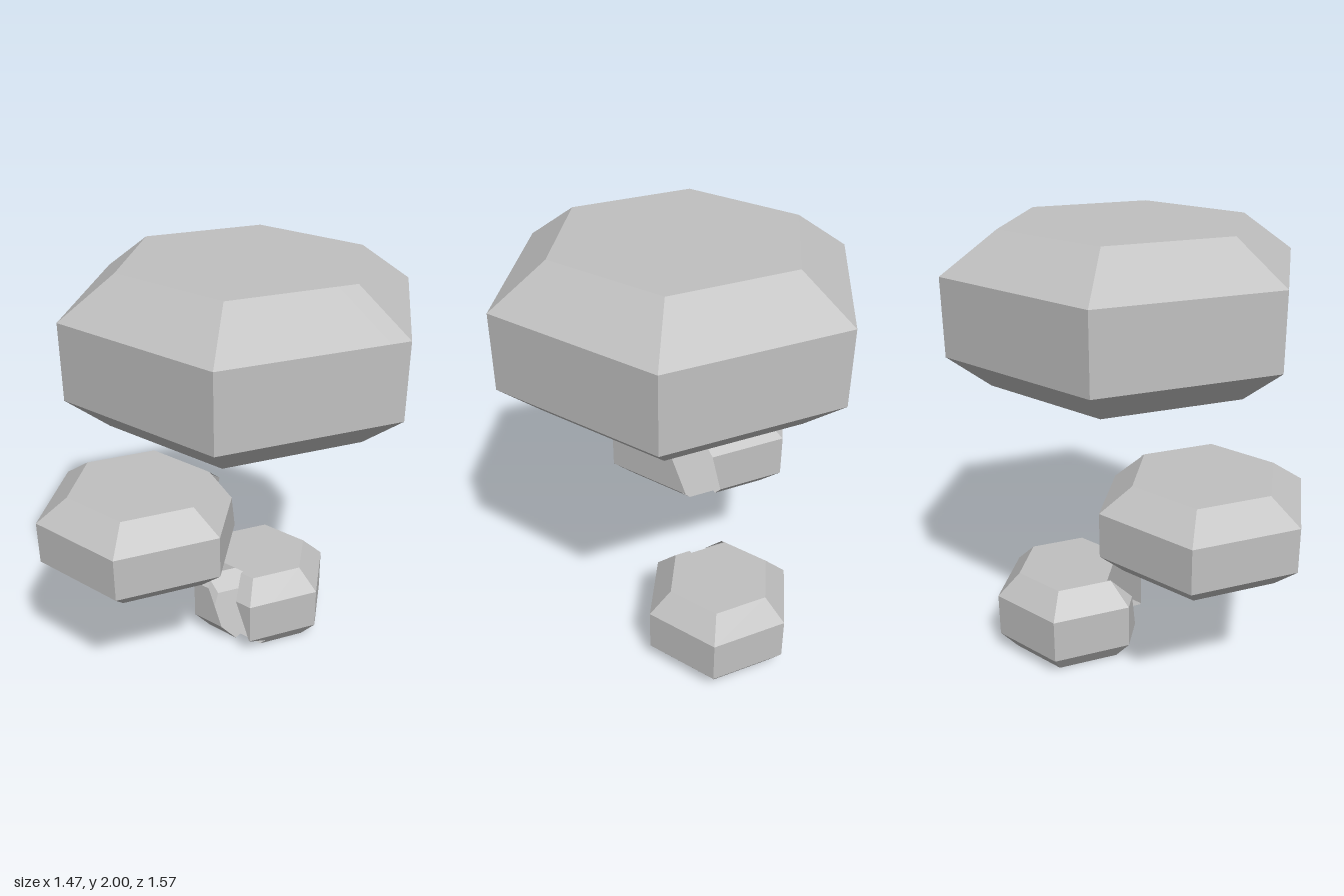
import * as THREE from 'three';

const stoneGrey = new THREE.MeshStandardMaterial({ color: 0xc0c0c0, side: THREE.DoubleSide });
stoneGrey.name = 'stoneGrey';

// Six-sided ring with one corner facing the front
function ring(cx, cz, y, radius) {
  return Array.from({ length: 6 }, (_, k) => {
    const a = (k * Math.PI) / 3;
    return new THREE.Vector3(cx + radius * Math.sin(a), y, cz + radius * Math.cos(a));
  });
}

// Part of a convex polygon where f >= 0
function clip(poly, f) {
  const out = [];
  poly.forEach((p, i) => {
    const q = poly[(i + 1) % poly.length];
    const a = f(p), b = f(q);
    if (a >= 0) out.push(p);
    if ((a > 0 && b < 0) || (a < 0 && b > 0)) out.push(p.clone().lerp(q, a / (a - b)));
  });
  return out;
}

// Remove everything inside all the planes, keeping the pieces outside
function subtract(poly, planes) {
  const kept = [];
  let rest = poly;
  for (const f of planes) {
    if (rest.length < 3) break;
    const piece = clip(rest, (p) => -f(p));
    if (piece.length > 2) kept.push(piece);
    rest = clip(rest, f);
  }
  return kept;
}

// Sloping square channel: x and z ranges at height y0, z shifting by slope per unit of height
function channel({ x, z, y0, slope, top = 9 }) {
  const shift = (p) => p.z - slope * (p.y - y0);
  return [
    (p) => p.x - x[0], (p) => x[1] - p.x,
    (p) => shift(p) - z[0], (p) => z[1] - shift(p),
    (p) => top - p.y,
  ];
}

// Hollow bevelled stone with an opening where the channel crosses its shell
function stone(name, cx, cz, levels, opening) {
  const rings = levels.map(([y, r]) => ring(cx, cz, y, r));
  const faces = [[...rings[0]].reverse(), rings[rings.length - 1]];
  for (let i = 0; i < rings.length - 1; i++) {
    for (let k = 0; k < 6; k++) {
      const n = (k + 1) % 6;
      faces.push([rings[i][k], rings[i][n], rings[i + 1][n], rings[i + 1][k]]);
    }
  }
  const planes = channel(opening);
  const pos = [];
  for (const face of faces) {
    for (const piece of subtract(face, planes)) {
      for (let i = 1; i < piece.length - 1; i++) {
        for (const p of [piece[0], piece[i], piece[i + 1]]) pos.push(p.x, p.y, p.z);
      }
    }
  }
  const geo = new THREE.BufferGeometry();
  geo.setAttribute('position', new THREE.Float32BufferAttribute(pos, 3));
  geo.computeVertexNormals();
  const mesh = new THREE.Mesh(geo, stoneGrey);
  mesh.name = name;
  return mesh;
}

export function createModel() {
  const model = new THREE.Group();
  model.name = 'floatingStones';
  model.add(
    // Large stone, opened only through its underside
    stone('upperStone', 0.05, 0, [[1.355, 0.605], [1.5, 0.785], [1.83, 0.785], [2, 0.543]],
      { x: [-0.025, 0.122], z: [-0.065, 0.065], y0: 1.355, slope: 0, top: 1.4 }),
    // Middle stone, opened at its front left corner
    stone('middleStone', -0.33, -0.3, [[0.62, 0.365], [0.71, 0.47], [0.91, 0.47], [1.01, 0.325]],
      { x: [-0.035, 0.3], z: [-0.165, 0], y0: 0.905, slope: 0.23 }),
    // Small stone, opened along its inner side
    stone('lowerStone', 0.31, -0.095, [[0, 0.278], [0.092, 0.357], [0.298, 0.357], [0.4, 0.25]],
      { x: [-0.2, 0.11], z: [-0.22, -0.045], y0: 0.4, slope: -0.4 }),
  );
  return model;
}
